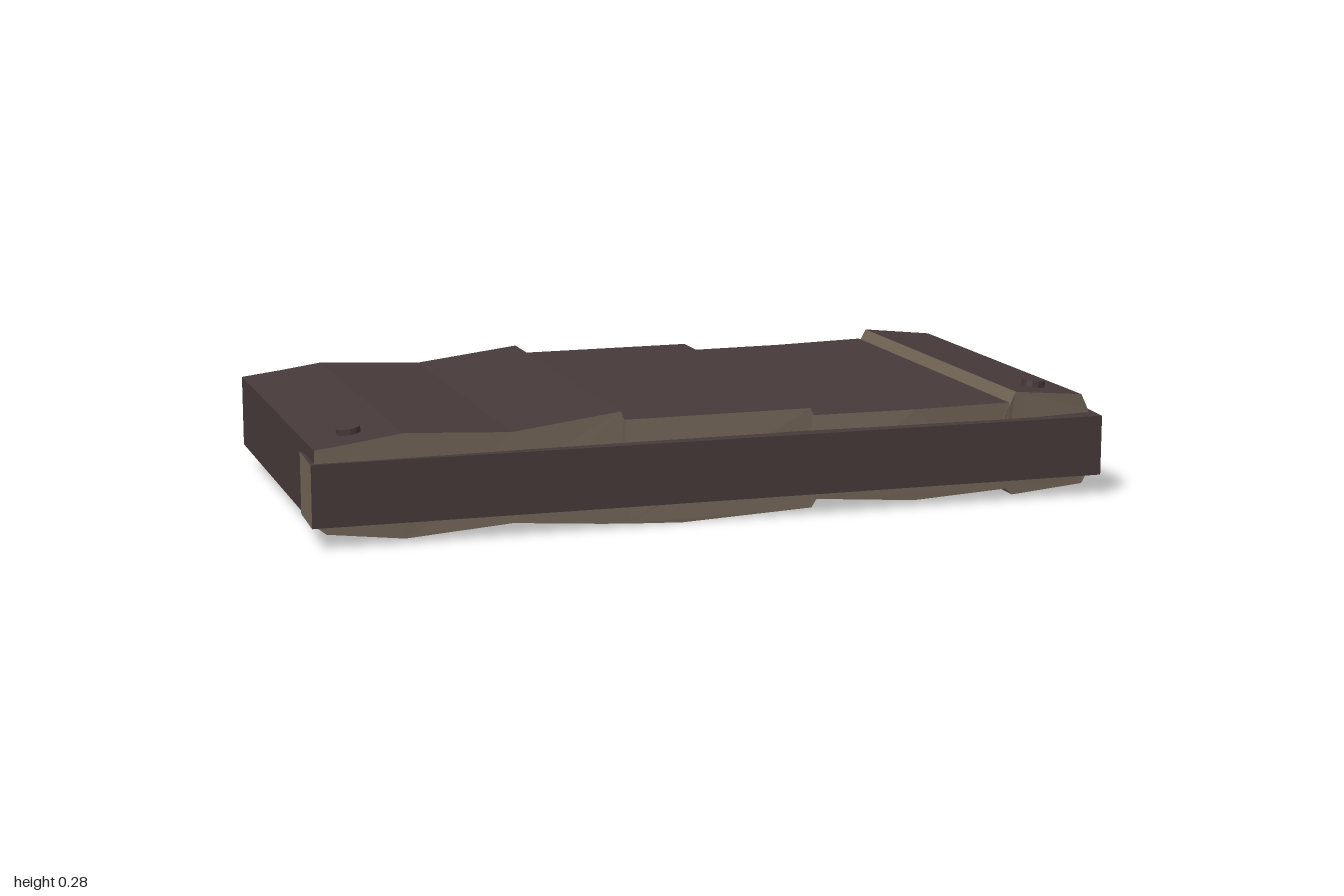
import * as THREE from 'three';

const wood = new THREE.MeshStandardMaterial({ color: 0x463939, flatShading: true });
wood.name = 'dark wood';
const grain = new THREE.MeshStandardMaterial({ color: 0x706355, flatShading: true });
grain.name = 'cut wood';

const BACK = -0.51;
const BOTTOM_FRONT = 0.47;

// A board running front to back: a top edge and a bottom edge, both left to right in x,
// with the front end at z0 on the low-x side and z1 on the high-x side.
function board(name, top, bottom, z0, z1) {
  const outline = [...bottom, ...top.slice().reverse()].map(p => new THREE.Vector2(...p));
  const geo = new THREE.ExtrudeGeometry(new THREE.Shape(outline), { depth: 1, bevelEnabled: false });
  const pos = geo.attributes.position;
  const xa = top[0][0], xb = top[top.length - 1][0];
  for (let i = 0; i < pos.count; i++) {
    const t = THREE.MathUtils.clamp((pos.getX(i) - xa) / (xb - xa), 0, 1);
    const front = pos.getY(i) > 0.15 ? THREE.MathUtils.lerp(z0, z1, t) : BOTTOM_FRONT;
    pos.setZ(i, pos.getZ(i) > 0.5 ? front : BACK);
  }
  geo.computeVertexNormals();

  // Ends and the steep bevels between boards show the pale cut wood
  const n = geo.attributes.normal;
  geo.clearGroups();
  for (let i = 0; i < pos.count; i += 3) {
    const isEnd = Math.abs(n.getZ(i)) > 0.7;
    const isBevel = Math.abs(n.getX(i)) > 0.4 && Math.abs(pos.getX(i)) < 0.9;
    geo.addGroup(i, 3, isEnd || isBevel ? 1 : 0);
  }
  const mesh = new THREE.Mesh(geo, [wood, grain]);
  mesh.name = name;
  return mesh;
}

// Cross batten, slightly askew, passing through the front of the boards
function batten() {
  const geo = new THREE.BoxGeometry(2, 0.15, 0.16);
  const pos = geo.attributes.position;
  for (let i = 0; i < pos.count; i++) {
    const right = pos.getX(i) > 0, front = pos.getZ(i) > 0;
    pos.setX(i, right ? (front ? 0.987 : 1) : (front ? -1 : -0.995));
    pos.setZ(i, right ? (front ? 0.51 : 0.35) : (front ? 0.48 : 0.32));
    pos.setY(i, pos.getY(i) + 0.128);
  }
  geo.computeVertexNormals();
  const mesh = new THREE.Mesh(geo, [grain, grain, wood, wood, wood, wood]);
  mesh.name = 'crossBatten';
  return mesh;
}

// Round peg head, leaning with the surface under it
function peg(name, x, y, z, tilt) {
  const mesh = new THREE.Mesh(new THREE.CylinderGeometry(0.029, 0.029, 0.03, 12), wood);
  mesh.name = name;
  mesh.position.set(x, y, z);
  mesh.rotation.z = tilt;
  return mesh;
}

export function createModel() {
  const group = new THREE.Group();
  group.name = 'plankPanel';

  group.add(board('wideBoard',
    [[-0.99, 0.235], [-0.89, 0.247], [-0.78, 0.262], [-0.52, 0.247], [-0.25, 0.279], [-0.225, 0.215]],
    [[-0.99, 0.055], [-0.965, 0.035], [-0.78, 0.012], [-0.52, 0.03], [-0.3, 0.012], [-0.235, 0.008]],
    0.472, 0.456));
  group.add(board('middleBoard',
    [[-0.24, 0.258], [0.23, 0.258], [0.25, 0.22]],
    [[-0.24, 0.008], [-0.1, 0.001], [0.23, 0.014], [0.25, 0.045]],
    0.456, 0.456));
  group.add(board('rightBoard',
    [[0.235, 0.24], [0.5, 0.241], [0.745, 0.246]],
    [[0.235, 0.035], [0.5, 0.013], [0.745, 0.025]],
    0.456, 0.482));
  group.add(board('edgeBoard',
    [[0.735, 0.215], [0.765, 0.271], [0.955, 0.25], [0.975, 0.21]],
    [[0.735, 0.035], [0.765, 0.009], [0.955, 0.025], [0.975, 0.06]],
    0.482, 0.455));

  group.add(batten());
  group.add(peg('leftEndPeg', -0.885, 0.247, 0.355, 0.13));
  group.add(peg('rightEndPeg', 0.865, 0.261, 0.365, -0.11));
  return group;
}
